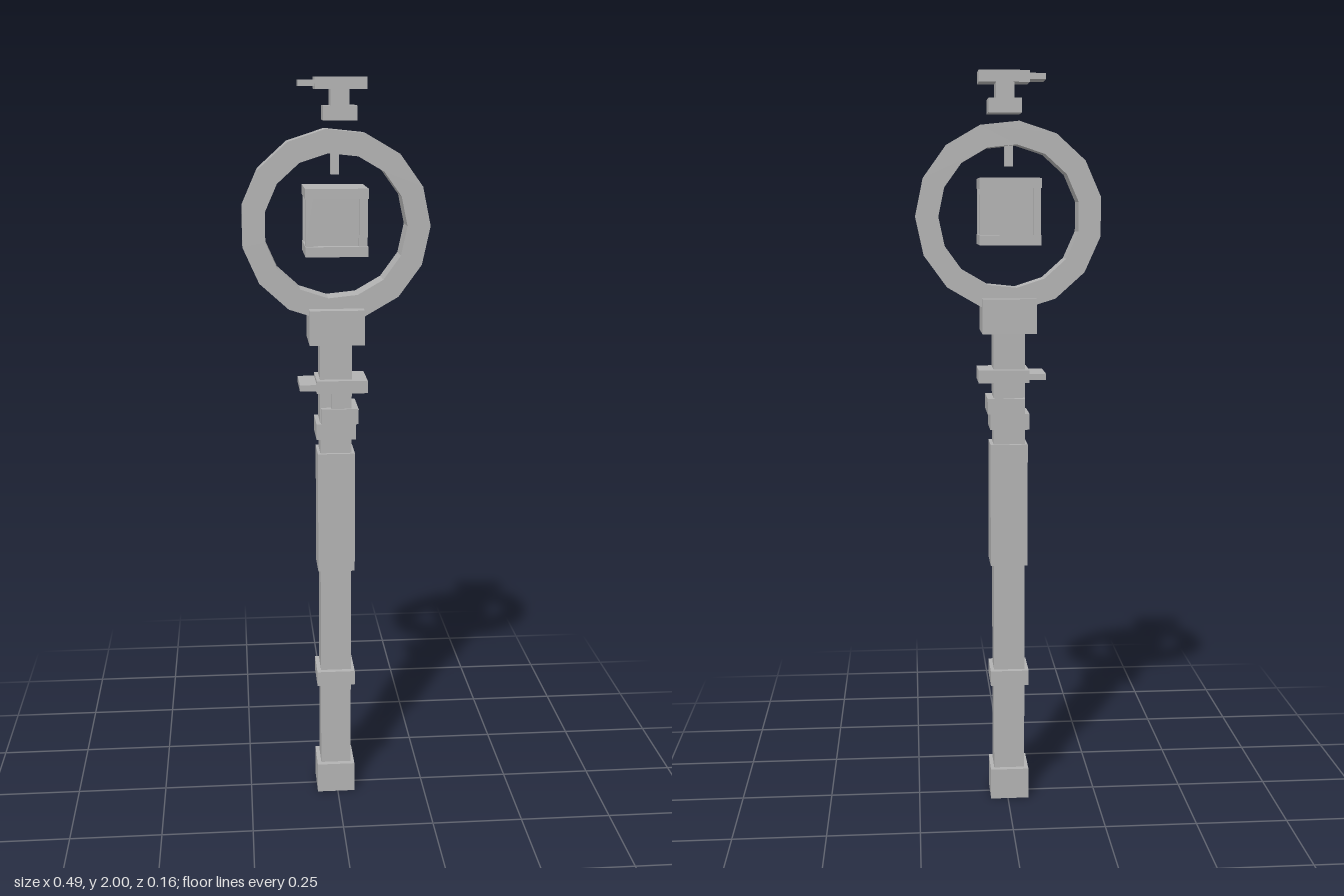
import * as THREE from 'three';

export function createModel() {
  const model = new THREE.Group();
  model.name = 'ringStaff';
  const grey = new THREE.MeshStandardMaterial({ color: 0xb2b2b2 });
  grey.name = 'plain grey';

  // Box given by its x range, y range and z half-depth
  function box(name, x0, x1, y0, y1, hz, parent = model, z = 0) {
    const mesh = new THREE.Mesh(new THREE.BoxGeometry(x1 - x0, y1 - y0, hz * 2), grey);
    mesh.position.set((x0 + x1) / 2, (y0 + y1) / 2, z);
    mesh.name = name;
    parent.add(mesh);
    return mesh;
  }

  // Handle
  box('pommel', -0.058, 0.048, 0, 0.087, 0.055);
  box('shaft', -0.047, 0.038, 0.087, 1.32, 0.04);
  box('lowerBand', -0.058, 0.048, 0.336, 0.378, 0.055);
  box('grip', -0.054, 0.047, 0.68, 1.018, 0.05);
  box('upperBand', -0.058, 0.048, 1.06, 1.103, 0.056);
  box('collar', -0.076, 0.069, 1.32, 1.412, 0.072);

  // I-shaped guard with a side tab, used on the neck and as the finial
  function guard(name, foot, stem, plate, tab, hz, stemHz) {
    const g = new THREE.Group();
    g.name = name;
    box('guardFoot', ...foot, hz, g);
    box('guardStem', ...stem, stemHz, g);
    box('guardPlate', ...plate, hz, g);
    box('guardTab', ...tab, hz - 0.002, g);
    model.add(g);
  }
  guard('neckGuard', [-0.045, 0.055, 1.103, 1.145], [-0.018, 0.036, 1.145, 1.188],
    [-0.057, 0.079, 1.188, 1.222], [-0.102, -0.057, 1.195, 1.212], 0.061, 0.055);
  guard('finial', [-0.037, 0.05, 1.893, 1.93], [-0.018, 0.03, 1.93, 1.97],
    [-0.058, 0.075, 1.97, 2], [-0.1, -0.058, 1.977, 1.993], 0.041, 0.04);

  // Fifteen-sided ring
  const polygon = (radius) => Array.from({ length: 15 }, (_, i) => {
    const a = (i / 15) * Math.PI * 2;
    return new THREE.Vector2(Math.cos(a) * radius, Math.sin(a) * radius);
  });
  const ringShape = new THREE.Shape(polygon(0.2477));
  ringShape.holes.push(new THREE.Path(polygon(0.187)));
  const ring = new THREE.Mesh(
    new THREE.ExtrudeGeometry(ringShape, { depth: 0.078, bevelEnabled: false }), grey);
  ring.position.set(-0.0047, 1.626, -0.04);
  ring.name = 'ring';
  model.add(ring);

  // Lantern hanging in the ring
  const lantern = new THREE.Group();
  lantern.name = 'lantern';
  model.add(lantern);
  box('hook', -0.016, 0.006, 1.757, 1.815, 0.012, lantern);
  box('lanternCore', -0.066, 0.054, 1.575, 1.703, 0.059, lantern);
  box('lanternRoof', -0.086, 0.076, 1.7, 1.726, 0.081, lantern);
  box('lanternFloor', -0.086, 0.076, 1.553, 1.579, 0.081, lantern);
  for (const z of [-0.0615, 0.0615]) {
    box('lanternPost', -0.085, -0.065, 1.579, 1.7, 0.0105, lantern, z);
    box('lanternPost', 0.053, 0.075, 1.579, 1.7, 0.0105, lantern, z);
  }
  return model;
}
